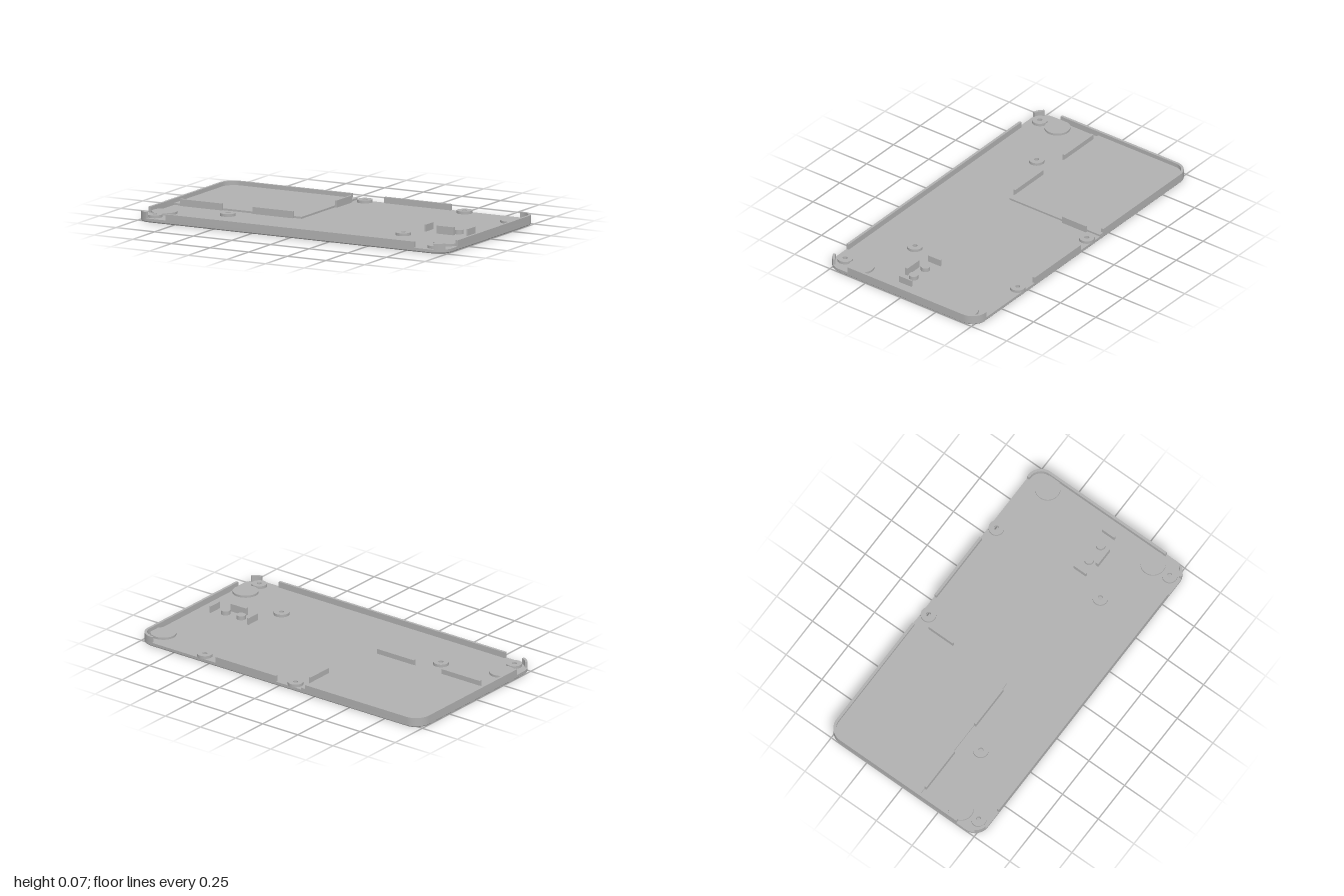
import * as THREE from 'three';
import { toCreasedNormals } from 'three/addons/utils/BufferGeometryUtils.js';

const W = 1, D = 0.53, R = 0.09, WALL = 0.015;
const CHAMFER = 0.006, FLOOR = 0.022, RIM = 0.057;

export function createModel() {
  const model = new THREE.Group();
  const grey = new THREE.MeshStandardMaterial({ color: 0xb0b0b0 });
  grey.name = 'grey plastic';

  const add = (name, geometry) => {
    const mesh = new THREE.Mesh(geometry, grey);
    mesh.name = name;
    model.add(mesh);
    return mesh;
  };

  // Plan outline (x, z) raised from y0 to y1
  const slab = (shape, y0, y1) => {
    const g = new THREE.ExtrudeGeometry(shape, { depth: y1 - y0, bevelEnabled: false, curveSegments: 24 });
    g.rotateX(-Math.PI / 2).translate(0, y0, 0);
    return g;
  };
  const shapeOf = (pts) => new THREE.Shape(pts.map(([x, z]) => new THREE.Vector2(x, -z)));
  const circle = (x, z, r) => new THREE.Path().absarc(x, -z, r, 0, Math.PI * 2, false);
  const smooth = (g) => toCreasedNormals(g, 0.6);

  // Outer points [x, z, normalX, normalZ] round one corner, angles in degrees
  const corner = (sx, sz, a0, a1) => {
    const pts = [];
    for (let i = 0; i <= 10; i++) {
      const a = THREE.MathUtils.degToRad(a0 + (a1 - a0) * i / 10);
      const nx = sx * Math.cos(a), nz = sz * Math.sin(a);
      pts.push([sx * (W - R) + R * nx, sz * (D - R) + R * nz, nx, nz]);
    }
    return pts;
  };
  const outline = [
    ...corner(1, 1, 0, 90), ...corner(-1, 1, 90, 0),
    ...corner(-1, -1, 0, 90), ...corner(1, -1, 90, 0),
  ];

  const feet = [[-0.915, 0.345], [0.91, 0.345], [0.92, -0.4], [-0.915, -0.4]];
  const screws = [[-0.09, -0.49], [0.555, -0.49], [-0.57, 0.23], [0.565, 0.23], [-0.91, 0.465], [0.905, 0.465]];

  // Floor plate with foot recesses and screw holes, chamfered at the bottom
  const plateShape = shapeOf(outline);
  feet.forEach(([x, z]) => plateShape.holes.push(circle(x, z, 0.058)));
  screws.forEach(([x, z]) => plateShape.holes.push(circle(x, z, 0.02)));
  add('floorPlate', smooth(slab(plateShape, CHAMFER, FLOOR)));

  const edge = slab(plateShape, 0, CHAMFER);
  const p = edge.attributes.position;
  for (let i = 0; i < p.count; i++) {
    const x = p.getX(i), z = p.getZ(i);
    const dx = Math.max(Math.abs(x) - (W - R), 0), dz = Math.max(Math.abs(z) - (D - R), 0);
    if (p.getY(i) < 0.001 && Math.hypot(dx, dz) > R - 0.001) {
      p.setX(i, x - Math.sign(x) * 0.005 * dx / R);
      p.setZ(i, z - Math.sign(z) * 0.005 * dz / R);
    }
  }
  edge.computeVertexNormals();
  add('chamferedBase', smooth(edge));

  // Raised pad filling the back corner
  add('raisedPad', smooth(slab(shapeOf([
    ...corner(-1, -1, 0, 90), [-0.16, -D], [-0.16, 0.11], [-W, 0.11],
  ].map(([x, z]) => [Math.max(x, -0.999), Math.max(z, -0.529)])), FLOOR, 0.033)));

  // Rim walls with gaps
  const wall = (name, pts) => {
    const inner = pts.map(([x, z, nx, nz]) => [x - nx * WALL, z - nz * WALL]).reverse();
    add(name, smooth(slab(shapeOf([...pts, ...inner]), FLOOR, RIM)));
  };
  wall('rightSideWall', [[-W, 0.375, -1, 0], ...corner(-1, -1, 0, 90), [-0.19, -D, 0, -1]]);
  wall('leftSideWall', [[W, 0.375, 1, 0], ...corner(1, -1, 0, 90), [0.9, -D, 0, -1]]);
  wall('backWall', [[0.02, -D, 0, -1], [0.45, -D, 0, -1]]);
  wall('frontWall', [[-0.805, D, 0, 1], [0.805, D, 0, 1]]);
  for (const s of [-1, 1]) wall('frontCornerWall', corner(s, 1, 34, 77));

  // Caps over the foot recesses; the pad covers the fourth
  feet.slice(0, 3).forEach(([x, z]) => {
    add('footCap', new THREE.CylinderGeometry(0.073, 0.073, 0.013, 40)).position.set(x, FLOOR + 0.0065, z);
  });

  // Screw bosses
  screws.forEach(([x, z]) => {
    const ring = new THREE.Shape().absarc(x, -z, 0.044, 0, Math.PI * 2, false);
    ring.holes.push(circle(x, z, 0.014));
    add('screwBoss', smooth(slab(ring, FLOOR - 0.004, 0.038)));
  });

  // Upright ribs: name, x range, z range, top
  const ribs = [
    ['padFrontRib', -0.94, -0.67, 0.107, 0.122, 0.062],
    ['padFrontRib', -0.47, -0.21, 0.107, 0.122, 0.062],
    ['padSideRib', -0.158, -0.146, -0.44, -0.27, 0.063],
    ['holderSideRib', 0.622, 0.632, 0, 0.086, 0.062],
    ['holderSideRib', 0.892, 0.902, 0, 0.086, 0.062],
    ['holderFrontRib', 0.71, 0.82, 0.088, 0.108, 0.068],
  ];
  ribs.forEach(([name, x0, x1, z0, z1, top]) => {
    add(name, new THREE.BoxGeometry(x1 - x0, top - FLOOR, z1 - z0))
      .position.set((x0 + x1) / 2, (top + FLOOR) / 2, (z0 + z1) / 2);
  });

  // Locating pins
  for (const x of [0.71, 0.82]) {
    add('locatingPin', new THREE.CylinderGeometry(0.027, 0.027, 0.024, 24)).position.set(x, FLOOR + 0.012, 0.045);
  }

  return model;
}
